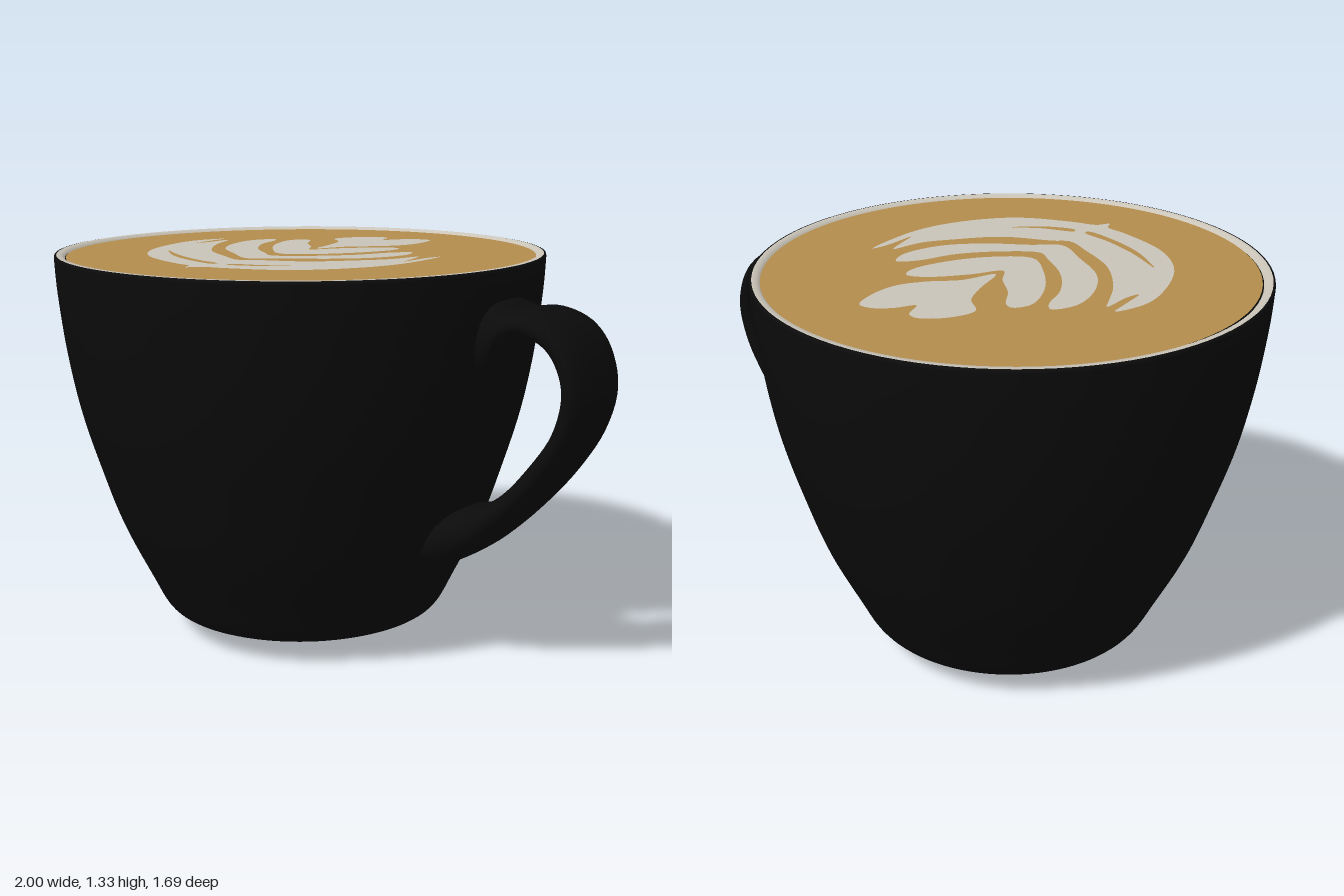
import * as THREE from 'three';

const CX = -0.165; // cup axis
const paint = (name, color) => {
  const m = new THREE.MeshStandardMaterial({ color });
  m.name = name;
  return m;
};
const vectors = (pairs, s = 1) => pairs.map(([x, y]) => new THREE.Vector2(x * s, y * s));

// Smooth closed outline from hundredths (x, z) in the plane of the drink
function outline(pairs, Type = THREE.Shape) {
  const pts = pairs.map(([x, z]) => new THREE.Vector3(x / 100, -z / 100, 0));
  const curve = new THREE.CatmullRomCurve3(pts, true, 'centripetal');
  return new Type(curve.getPoints(pairs.length * 5).slice(0, -1).map(p => new THREE.Vector2(p.x, p.y)));
}

// Handle lofted between matching outer and inner edge points
function handleGeometry() {
  const outer = [[0.58, 1.24], [0.67, 1.235], [0.72, 1.215], [0.8, 1.22], [0.9, 1.185], [0.97, 1.1], [1, 0.97],
    [0.965, 0.83], [0.88, 0.69], [0.78, 0.57], [0.66, 0.45], [0.55, 0.37], [0.42, 0.32]];
  const inner = [[0.55, 0.96], [0.66, 1.0], [0.7, 1.09], [0.75, 1.135], [0.83, 1.12], [0.885, 1.07], [0.913, 0.98],
    [0.885, 0.86], [0.81, 0.745], [0.71, 0.63], [0.6, 0.555], [0.52, 0.53], [0.4, 0.5]];
  const a = new THREE.SplineCurve(vectors(outer)), b = new THREE.SplineCurve(vectors(inner));
  const rows = 60, sides = 28, pos = [], idx = [];
  const soft = (v, p) => Math.sign(v) * Math.abs(v) ** p;
  for (let i = 0; i <= rows; i++) {
    const t = i / rows, o = a.getPoint(t), n = b.getPoint(t);
    const width = 0.155 + 0.012 * THREE.MathUtils.smoothstep(t, 0.6, 1);
    for (let j = 0; j < sides; j++) {
      const ang = (j / sides) * Math.PI * 2, k = (1 + soft(Math.sin(ang), 0.9)) / 2;
      pos.push(n.x + (o.x - n.x) * k, n.y + (o.y - n.y) * k, width * soft(Math.cos(ang), 0.65));
      if (i < rows) {
        const p = i * sides + j, q = i * sides + (j + 1) % sides;
        idx.push(p, p + sides, q, q, p + sides, q + sides);
      }
    }
  }
  const g = new THREE.BufferGeometry();
  g.setAttribute('position', new THREE.Float32BufferAttribute(pos, 3));
  g.setIndex(idx);
  g.computeVertexNormals();
  return g;
}

export function createModel() {
  const group = new THREE.Group();
  group.name = 'coffeeCup';
  const black = paint('black glaze', 0x0b0b0b);
  black.side = THREE.DoubleSide;
  const cream = paint('cream', 0xcbc5b9);
  const coffee = paint('coffee', 0xb58d4e);
  const add = (name, geometry, material, x = 0, y = 0) => {
    const mesh = new THREE.Mesh(geometry, material);
    mesh.name = name;
    mesh.position.set(x, y, 0);
    group.add(mesh);
    return mesh;
  };

  // Cup wall with a small central foot
  const profile = new THREE.SplineCurve(vectors([[0, 0], [0.09, 0.001], [0.135, 0.015], [0.175, 0.05], [0.22, 0.064],
    [0.34, 0.065], [0.44, 0.07], [0.495, 0.095], [0.55, 0.2], [0.643, 0.4], [0.71, 0.6], [0.767, 0.8],
    [0.805, 1], [0.828, 1.2], [0.835, 1.325]])).getPoints(84);
  profile[0].x = 0;
  profile.forEach(p => { p.y = Math.max(p.y, 0); });
  add('cupBody', new THREE.LatheGeometry(profile, 96), black, CX).scale.z = 1.012;

  // Dark outer lip, pale inner rim and the drink
  add('outerLip', new THREE.LatheGeometry(vectors([[0.835, 1.325], [0.833, 1.333], [0.827, 1.334]]), 96), black, CX).scale.z = 1.012;
  add('innerRim', new THREE.LatheGeometry(vectors([[0.827, 1.334], [0.81, 1.334], [0.799, 1.323]]), 96), cream, CX).scale.z = 1.012;
  const drink = new THREE.CircleGeometry(0.801, 96).rotateX(-Math.PI / 2);
  add('coffeeSurface', drink, coffee, CX + 0.007, 1.325).scale.z = 1.012;

  add('handle', handleGeometry(), black);

  // Milk foam leaf: heart, two V-shaped leaves and a large cradle with slits
  const heart = outline([[-14, -45], [-17, -52], [-21, -53], [-28, -47], [-31, -38], [-24, -31], [-20, -21], [-16, -8],
    [-11, -19], [-3, -27], [2, -35], [3, -44], [0, -55], [-5, -55], [-10, -51]]);
  const upperLeaf = outline([[-38, -29], [-41, -24], [-37, -11], [-27, 3], [-16, 12], [-5, 5], [4, -8], [8, -21],
    [6, -26], [0, -24], [-10, -13], [-16, -4], [-21, -11], [-29, -19], [-35, -28]]);
  const middleLeaf = outline([[-48, -23], [-52, -16], [-50, -3], [-42, 11], [-29, 21], [-16, 29], [-8, 23], [6, 14],
    [16, 3], [20, -11], [17, -18], [12, -13], [6, 0], [-5, 12], [-15, 18], [-21, 14], [-32, 5], [-41, -8], [-45, -20]]);
  const cradle = outline([[-64, -13], [-68, -2], [-66, 13], [-58, 32], [-45, 45], [-26, 53], [-18, 55], [-16, 59],
    [-13, 55], [-5, 53], [14, 45], [27, 29], [33, 11], [32, -13], [30.5, -8], [30, 5], [28, -3], [26, -9], [23, 2],
    [16, 12], [5, 24], [-11, 31], [-16, 34], [-26, 29], [-40, 20], [-52, 5], [-57, -5], [-60, -11], [-60.5, 0],
    [-62, 4], [-63, -5]]);
  cradle.holes.push(
    outline([[-53, 28], [-40, 36], [-26, 42], [-15, 45], [-15, 47], [-27, 44.5], [-41, 38]], THREE.Path),
    outline([[-11, 44], [0, 40], [9, 34.5], [1, 42], [-10, 46]], THREE.Path));
  Object.entries({ heart, upperLeaf, middleLeaf, cradle }).forEach(([name, shape]) =>
    add(name + 'Foam', new THREE.ShapeGeometry(shape).rotateX(-Math.PI / 2), cream, 0, 1.33));

  return group;
}
